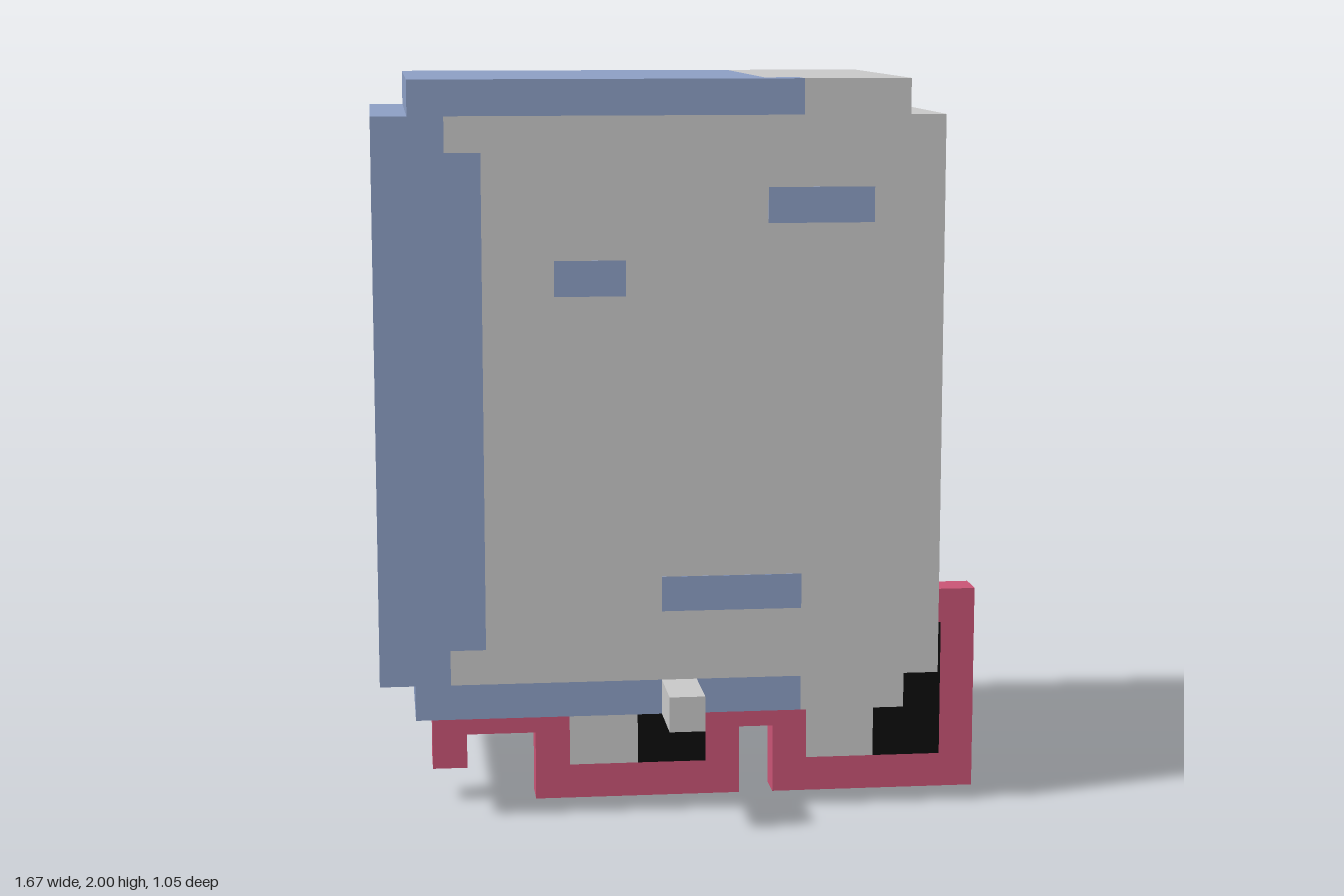
import * as THREE from 'three';

const U = 2 / 21; // one block
const X0 = -0.8333, Y0 = 3 * U, Z0 = -0.5238; // corner of the body grid

const material = (name, color) => {
  const m = new THREE.MeshStandardMaterial({ color });
  m.name = name;
  return m;
};

export function createModel() {
  const grey = material('grey', 0xc8c8c8);
  const blue = material('blue', 0x8c9ec4);
  const pink = material('pink', 0xc95475);
  const black = material('black', 0x0c0c0c);

  const model = new THREE.Group();
  model.name = 'blockHead';

  // Box between two corners given in blocks
  const box = (parent, name, mat, [x1, y1, z1], [x2, y2, z2]) => {
    const mesh = new THREE.Mesh(new THREE.BoxGeometry((x2 - x1) * U, (y2 - y1) * U, (z2 - z1) * U), mat);
    mesh.position.set(X0 + (x1 + x2) / 2 * U, Y0 + (y1 + y2) / 2 * U, Z0 + (z1 + z2) / 2 * U);
    mesh.name = name;
    parent.add(mesh);
  };

  // Outline in blocks, extruded from z1 to z2
  const slab = (name, mat, points, z1, z2) => {
    const shape = new THREE.Shape(points.map(([x, y]) => new THREE.Vector2(x * U, y * U)));
    const mesh = new THREE.Mesh(
      new THREE.ExtrudeGeometry(shape, { depth: (z2 - z1) * U, bevelEnabled: false }), mat);
    mesh.position.set(X0, Y0, Z0 + z1 * U);
    mesh.name = name;
    model.add(mesh);
  };

  // Stepped outer edges shared by the slabs
  const blueEdge = [[1, 18], [1, 17], [0, 17], [0, 1], [1, 1], [1, 0]];
  const greyEdge = [[15, 0], [15, 1], [16, 1], [16, 17], [15, 17], [15, 18]];
  // Colour boundaries, from bottom to top
  const backSeam = [[12, 0], [12, 5], [11, 5], [11, 13], [10, 13], [10, 17], [11, 17], [11, 18]];
  const frontSeam = [[12, 0], [12, 1], [2, 1], [2, 2], [3, 2], [3, 16], [2, 16], [2, 17], [12, 17], [12, 18]];

  // Body and front face
  for (const [name, seam, z1, z2] of [['body', backSeam, 0, 8], ['face', frontSeam, 8, 9]]) {
    slab(name + 'Blue', blue, [...blueEdge, ...seam], z1, z2);
    slab(name + 'Grey', grey, [...greyEdge, ...[...seam].reverse()], z1, z2);
  }

  // Painted marks on the face
  for (const [x1, x2, y] of [[11, 14, 14], [5, 7, 12], [8, 12, 3]]) {
    box(model, 'faceMark', blue, [x1, y, 8.98], [x2, y + 1, 9.02]);
  }

  // Nose
  box(model, 'nose', grey, [8, 0, 9], [9, 1, 11]);

  // Glasses set into the underside
  const glasses = new THREE.Group();
  glasses.name = 'glasses';
  model.add(glasses);
  for (const x of [4.5, 11.5]) {
    box(glasses, 'frameBottom', pink, [x, -3, 6], [x + 6, -2, 7]);
    box(glasses, 'frameTop', pink, [x, 2, 6], [x + 6, 3, 7]);
    box(glasses, 'frameSide', pink, [x, -2, 6], [x + 1, 2, 7]);
    box(glasses, 'frameSide', pink, [x + 5, -2, 6], [x + 6, 2, 7]);
    box(glasses, 'lensLight', grey, [x + 1, -2, 6], [x + 3, 2, 7]);
    box(glasses, 'lensDark', black, [x + 3, -2, 6], [x + 5, 2, 7]);
  }
  box(glasses, 'bridge', pink, [10.5, -1, 6], [11.5, 0, 7]);
  box(glasses, 'temple', pink, [1.5, -1, 6], [4.5, 0, 7]);
  box(glasses, 'templeTip', pink, [1.5, -2, 6], [2.5, -1, 7]);

  return model;
}
